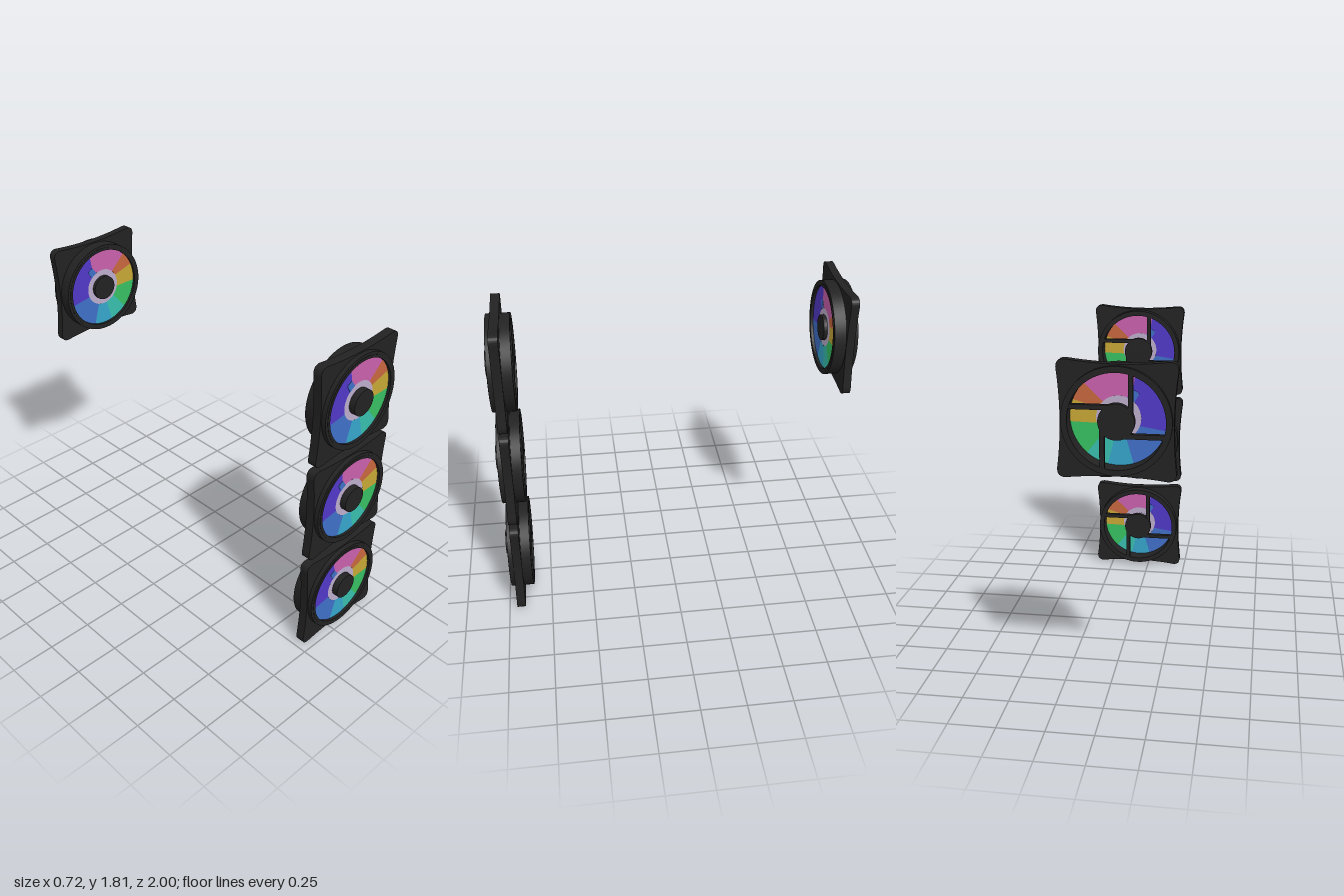
import * as THREE from 'three';
import { toCreasedNormals } from 'three/addons/utils/BufferGeometryUtils.js';

const mat = (name, color) => {
  const m = new THREE.MeshStandardMaterial({ color });
  m.name = name;
  return m;
};
const rad = THREE.MathUtils.degToRad;

const RING_OUT = 0.264, RING_IN = 0.234, DEPTH = 0.13;
const HUB_R = 0.072, GLOW_R = 0.108;

// Extrude a shape from z0 to z1 with smooth curves and sharp edges
function slab(shape, z0, z1) {
  const g = new THREE.ExtrudeGeometry(shape, { depth: z1 - z0, bevelEnabled: false, curveSegments: 32 });
  g.translate(0, 0, z0);
  return toCreasedNormals(g, 0.6);
}

function circle(r, hole) {
  const s = new THREE.Shape().absarc(0, 0, r, 0, Math.PI * 2, false);
  if (hole) s.holes.push(new THREE.Path().absarc(0, 0, hole, 0, Math.PI * 2, true));
  return s;
}

// Square with rounded corners, slightly concave sides and a round opening
function frameShape() {
  const s = new THREE.Shape();
  const h = 0.29, c = 0.05, mid = 0.255;
  const corner = [[h - 0.006, h - c], [h, h], [h - c, h - 0.002]];
  for (let i = 0; i < 4; i++) {
    const a = i * Math.PI / 2;
    const rot = ([x, y]) => [x * Math.cos(a) - y * Math.sin(a), x * Math.sin(a) + y * Math.cos(a)];
    const [p, q, r] = corner.map(rot);
    if (i === 0) s.moveTo(...p);
    else s.quadraticCurveTo(...rot([mid, 0]), ...p);
    s.quadraticCurveTo(...q, ...r);
  }
  s.quadraticCurveTo(mid, 0, ...corner[0]);
  s.holes.push(new THREE.Path().absarc(0, 0, RING_IN + 0.01, 0, Math.PI * 2, true));
  return s;
}

// Ring sector whose side edges may lean between inner and outer radius
function sector(r0, r1, [in0, out0], [in1, out1]) {
  const s = new THREE.Shape();
  s.absarc(0, 0, r1, rad(out0), rad(out1), false);
  s.absarc(0, 0, r0, rad(in1), rad(in0), true);
  s.closePath();
  return s;
}

export function createModel() {
  const black = mat('black plastic', 0x222222);
  const lavender = mat('pale lavender', 0xbdaecd);
  const blue = mat('blue', 0x4070c8);

  // Colours around the rotor: [material, start edge], edges as [inner, outer] degrees
  const wheel = [
    [blue, [-160, -166]],
    [mat('cyan', 0x36a6cc), [-110, -108]],
    [mat('teal', 0x38bfae), [-78, -77]],
    [mat('green', 0x37c162), [-46, -49]],
    [mat('yellow', 0xc8a836), [-15, -6]],
    [mat('orange', 0xc8673e), [26, 21]],
    [mat('pink', 0xca61ae), [46, 45]],
    [mat('purple', 0x5139c8), [125, 110]],
  ];

  // One fan: plate depth range, rotor depth range and hub front are in local z
  function fan({ name, pos, plate, rotor, hubFront }) {
    const g = new THREE.Group();
    g.name = name;
    const add = (part, geometry, material) => {
      const m = new THREE.Mesh(geometry, material);
      m.name = part;
      g.add(m);
      return m;
    };

    add('framePlate', slab(frameShape(), ...plate), black);
    add('frameRing', slab(circle(RING_OUT, RING_IN), 0, DEPTH), black);
    // Thin raised lip around the front opening
    add('frontLip', slab(circle(0.248, RING_IN - 0.002), DEPTH - 0.01, DEPTH + 0.002), black);

    // Rotor disc
    wheel.forEach(([material, start], i) => {
      const end = i + 1 < wheel.length ? wheel[i + 1][1] : wheel[0][1].map((a) => a + 360);
      add('rotorSector', slab(sector(GLOW_R, RING_IN + 0.001, start, end), ...rotor), material);
    });
    add('rotorInnerRing', slab(circle(GLOW_R, HUB_R - 0.01), ...rotor), lavender);
    add('rotorAccent', slab(sector(GLOW_R, 0.155, [112, 116], [134, 130]),
      rotor[0] - 0.002, rotor[1] + 0.002), blue);

    // Hub in front, motor mount and pinwheel struts behind
    add('hub', slab(circle(HUB_R), rotor[0], hubFront), black);
    add('motorMount', slab(circle(0.088), 0, 0.03), black);
    for (let i = 0; i < 4; i++) {
      const geo = new THREE.BoxGeometry(0.235, 0.024, 0.025);
      geo.translate(0.1225, 0.068, 0.0135);
      add('strut', geo, black).rotation.z = i * Math.PI / 2;
    }
    g.position.set(...pos);
    return g;
  }

  const model = new THREE.Group();
  model.name = 'fanSet';
  // Column of three front fans
  [0.293, 0.904, 1.502].forEach((y) => model.add(fan({
    name: 'frontFan', pos: [0.068, y, 0.85],
    plate: [0.055, 0.105], rotor: [0.085, 0.115], hubFront: 0.15,
  })));
  // Single fan at the back
  model.add(fan({
    name: 'rearFan', pos: [-0.074, 1.53, -1],
    plate: [0.02, 0.065], rotor: [0.085, 0.115], hubFront: 0.135,
  }));
  return model;
}
